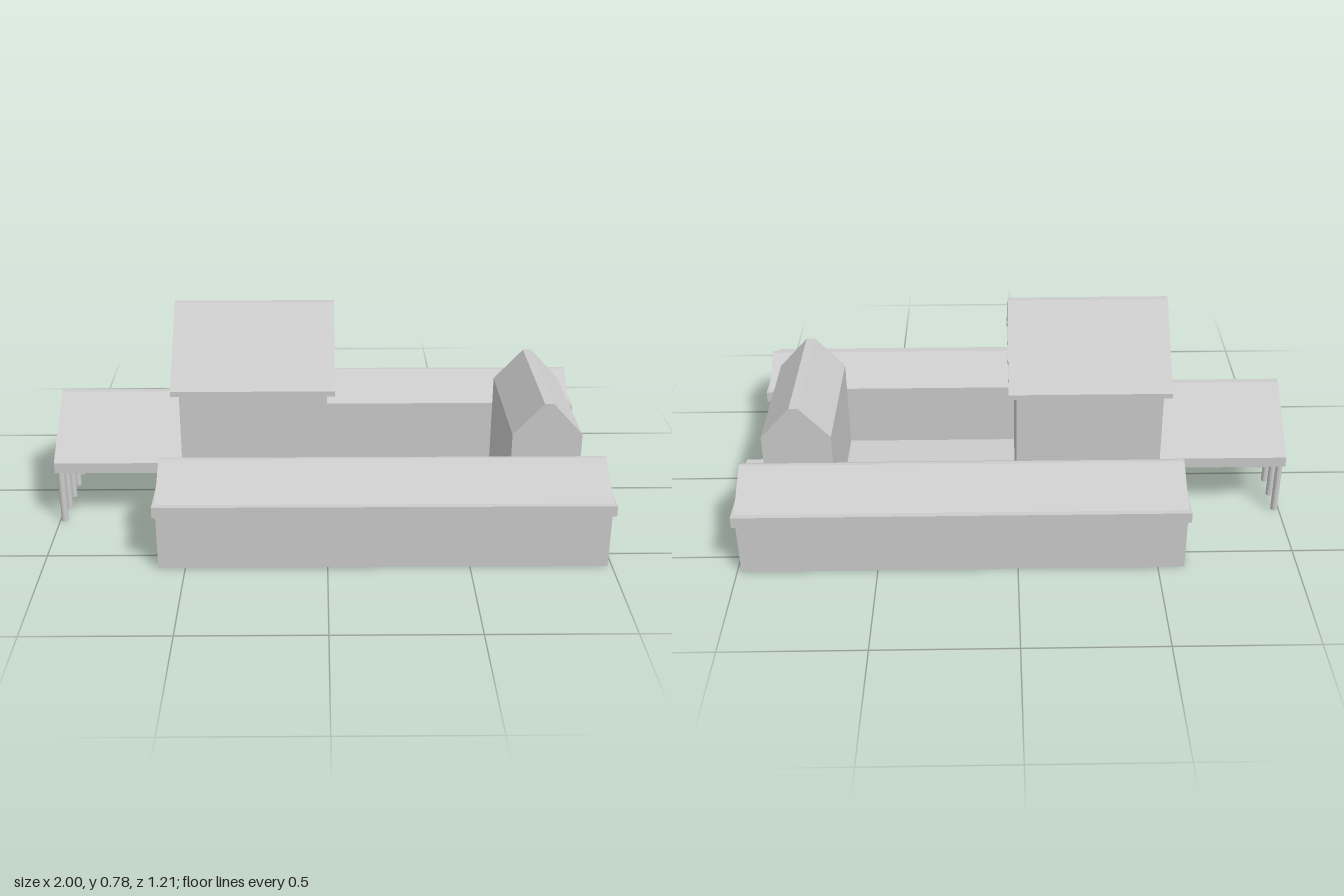
import * as THREE from 'three';

const mat = new THREE.MeshStandardMaterial({ color: 0xcccccc, flatShading: true, side: THREE.DoubleSide });

export function createModel() {
  const root = new THREE.Group();

  const add = (name, geometry, parent = root) => {
    const mesh = new THREE.Mesh(geometry, mat);
    mesh.name = name;
    parent.add(mesh);
    return mesh;
  };
  const group = (name) => {
    const g = new THREE.Group();
    g.name = name;
    root.add(g);
    return g;
  };
  // box given by its limits
  const box = (x0, x1, y0, y1, z0, z1) =>
    new THREE.BoxGeometry(x1 - x0, y1 - y0, z1 - z0)
      .translate((x0 + x1) / 2, (y0 + y1) / 2, (z0 + z1) / 2);
  // profile of [z, y] points swept from x0 to x1
  const outline = (pts) => new THREE.Shape(pts.map(([z, y]) => new THREE.Vector2(-z, y)));
  const alongX = (pts, x0, x1) =>
    new THREE.ExtrudeGeometry(outline(pts), { depth: x1 - x0, bevelEnabled: false })
      .rotateY(Math.PI / 2).translate(x0, 0, 0);
  const rect = (z0, z1, y0, y1) => [[z0, y0], [z1, y0], [z1, y1], [z0, y1]];
  // flat wall facing along x, with rectangular openings
  const wallX = (x, pts, openings = []) => {
    const shape = outline(pts);
    openings.forEach((o) => shape.holes.push(outline(rect(...o))));
    return new THREE.ShapeGeometry(shape).rotateY(Math.PI / 2).translate(x, 0, 0);
  };
  // flat wall facing along z
  const wallZ = (z, x0, x1, y0, y1) =>
    new THREE.PlaneGeometry(x1 - x0, y1 - y0).translate((x0 + x1) / 2, (y0 + y1) / 2, z);

  // two long side wings, open underneath
  for (const s of [1, -1]) {
    const wing = group(s > 0 ? 'frontWing' : 'backWing');
    const zi = 0.265, zo = 0.585;
    const span = (a, b) => (s > 0 ? [a, b] : [-b, -a]);
    add('outerWall', wallZ(s * zo, -0.595, 0.985, 0, 0.21), wing);
    add('courtyardWall', wallZ(s * zi, -0.595, 0.985, 0, 0.25), wing);
    add('gateEndWall', wallX(0.985, rect(...span(zi, zo), 0, 0.21)), wing);
    const slots = [0, 1, 2].map((i) => [...span(0.31 + i * 0.085, 0.37 + i * 0.085), 0.035, 0.165]);
    add('porchEndWall', wallX(-0.595, rect(...span(zi, zo), 0, 0.21), slots), wing);
    add('windowPanes', wallX(-0.585, rect(...span(0.29, 0.56), 0.02, 0.18)), wing);
    add('cornice', box(-0.605, 0.995, 0.21, 0.25, ...span(zi, 0.605)), wing);
    add('corniceReturn', box(0.93, 0.995, 0.21, 0.25, ...span(0.24, zi)), wing);
    add('corniceReturn', box(-0.605, -0.53, 0.21, 0.25, ...span(0.24, zi)), wing);
    add('roof', alongX([[s * zo, 0.25], [s * 0.42, 0.342], [s * 0.405, 0.342], [s * zi, 0.25]],
      -0.595, 0.985), wing);
  }

  // sunken courtyard between gatehouse and hall
  add('courtyardFloor', new THREE.PlaneGeometry(0.675, 0.53).rotateX(-Math.PI / 2).translate(0.3375, 0, 0));

  // gatehouse with its ridge across the building
  const gate = group('gatehouse');
  for (const x of [0.675, 0.93]) add('wall', wallX(x, rect(-0.265, 0.265, 0, 0.36)), gate);
  for (const z of [0.265, -0.265]) add('sideWall', wallZ(z, 0.675, 0.93, 0.25, 0.36), gate);
  const gateRoof = new THREE.Shape(
    [[0.675, 0.35], [0.93, 0.35], [0.93, 0.36], [0.818, 0.482], [0.785, 0.482], [0.675, 0.36]]
      .map((p) => new THREE.Vector2(...p)));
  add('roof', new THREE.ExtrudeGeometry(gateRoof, { depth: 0.53, bevelEnabled: false })
    .translate(0, 0, -0.265), gate);

  // gabled roof: thin shell over slightly recessed gable ends
  const gableRoof = (parent, x0, x1, half, eave, ridge) => {
    const t = 0.015, r = 0.012;
    add('roofShell', alongX([
      [half, eave], [r, ridge], [-r, ridge], [-half, eave],
      [-half + t, eave], [0, ridge - t], [half - t, eave],
    ], x0, x1), parent);
    add('gableFill', alongX([[half - t, eave], [0, ridge - t], [-half + t, eave]], x0 + 0.012, x1 - 0.012), parent);
  };

  // tall main hall
  const hall = group('mainHall');
  const body = rect(-0.265, 0.265, 0, 0.525);
  add('courtyardWall', wallX(0, body), hall);
  add('porchWall', wallX(-0.53, body,
    [[-0.08, 0.08, 0.01, 0.15], [0.11, 0.2, 0.38, 0.49], [-0.2, -0.11, 0.38, 0.49]]), hall);
  for (const z of [0.265, -0.265]) add('sideWall', wallZ(z, -0.53, 0, 0.25, 0.525), hall);
  add('eaves', box(-0.558, 0.028, 0.525, 0.545, -0.29, 0.29), hall);
  gableRoof(hall, -0.558, 0.028, 0.29, 0.545, 0.782);

  // porch on a row of round columns
  const porch = group('porch');
  add('beam', box(-1, -0.53, 0.21, 0.25, -0.265, 0.265), porch);
  gableRoof(porch, -1, -0.53, 0.265, 0.25, 0.427);
  for (let i = 0; i < 6; i++) {
    add('column', new THREE.CylinderGeometry(0.013, 0.013, 0.21, 12)
      .translate(-0.983, 0.105, -0.24 + i * 0.096), porch);
  }
  return root;
}
